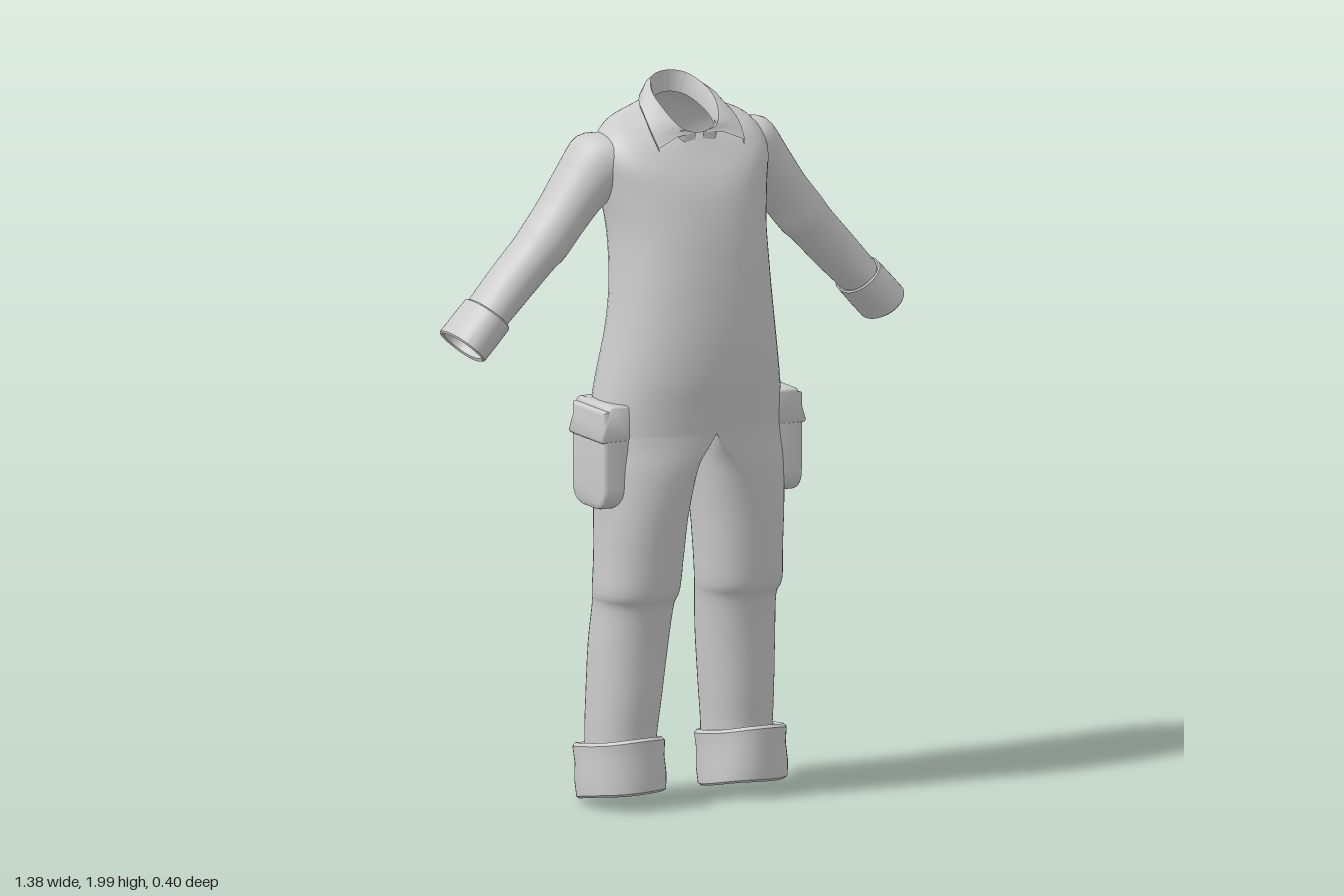
import * as THREE from 'three';
import { mergeGeometries, mergeVertices, toCreasedNormals } from 'three/addons/utils/BufferGeometryUtils.js';
import { RoundedBoxGeometry } from 'three/addons/geometries/RoundedBoxGeometry.js';

const V = (x, y, z) => new THREE.Vector3(x, y, z);
const N = 48;
const cloth = new THREE.MeshStandardMaterial({ color: 0xcccccc, side: THREE.DoubleSide, roughness: 0.9 });

// Catmull-Rom through every column of a table, n steps per span
function refine(rows, n) {
  const out = [];
  const at = (i) => rows[Math.max(0, Math.min(rows.length - 1, i))];
  for (let i = 0; i < rows.length - 1; i++) {
    for (let s = 0; s < n; s++) {
      const t = s / n;
      out.push(at(i).map((b, c) => {
        const a = at(i - 1)[c], d = at(i + 1)[c], e = at(i + 2)[c];
        return b + 0.5 * t * (d - a + t * (2 * a - 5 * b + 4 * d - e + t * (3 * (b - d) + e - a)));
      }));
    }
  }
  out.push(rows[rows.length - 1]);
  return out;
}

// Skin over rings of equal point count
function loft(rings, closed = true) {
  const m = rings[0].length, index = [];
  for (let i = 0; i < rings.length - 1; i++) {
    for (let j = 0; j < (closed ? m : m - 1); j++) {
      const a = i * m + j, b = i * m + (j + 1) % m, c = a + m, d = b + m;
      index.push(a, c, b, b, c, d);
    }
  }
  const g = new THREE.BufferGeometry();
  g.setAttribute('position', new THREE.Float32BufferAttribute(rings.flat().flatMap((p) => p.toArray()), 3));
  g.setIndex(index);
  g.computeVertexNormals();
  return g;
}

const around = (f) => Array.from({ length: N }, (_, j) => f((j / N) * Math.PI * 2));
const pw = (v, p) => Math.sign(v) * Math.pow(Math.abs(v) < 1e-9 ? 0 : Math.abs(v), 2 / p);

// Mirror in x, keeping faces outward
function mirror(g) {
  const m = (g.index ? g.toNonIndexed() : g.clone()).scale(-1, 1, 1);
  for (const key of Object.keys(m.attributes)) {
    const { array: a, itemSize: k } = m.attributes[key];
    for (let i = 0; i < a.length; i += 3 * k) {
      for (let c = 0; c < k; c++) [a[i + c], a[i + 2 * k + c]] = [a[i + 2 * k + c], a[i + c]];
    }
  }
  return m;
}

// Torso and both legs as one welded skin
function bodyGeometry() {
  // yFront, yBack, halfWidth, zFront, zBack, lift of the sides
  const torso = refine([
    [1.05, 1.05, 0.272, 0.175, -0.175, 0],
    [1.12, 1.12, 0.268, 0.185, -0.187, 0],
    [1.2, 1.2, 0.256, 0.198, -0.185, 0],
    [1.3, 1.3, 0.24, 0.203, -0.167, 0],
    [1.4, 1.4, 0.228, 0.2, -0.158, 0],
    [1.5, 1.5, 0.222, 0.192, -0.165, 0],
    [1.6, 1.6, 0.222, 0.178, -0.182, 0],
    [1.69, 1.7, 0.236, 0.156, -0.198, 0.01],
    [1.75, 1.8, 0.248, 0.13, -0.198, 0.035],
    [1.8, 1.865, 0.21, 0.1, -0.182, 0.04],
    [1.835, 1.91, 0.14, 0.08, -0.16, 0.025],
    [1.86, 1.94, 0.088, 0.065, -0.135, 0.005],
  ], 4).map(([yf, yb, w, zf, zb, lift]) => around((p) => {
    const s = pw(Math.sin(p), 2.2), c = pw(Math.cos(p), 2.2);
    return V(w * c, (yf + yb) / 2 + (s * (yf - yb)) / 2 + lift * c * c, (zf + zb) / 2 + (s * (zf - zb)) / 2);
  }));
  // y, xInner, xOuter, zFront, zBack, blend into half of the torso outline
  const leg = loft(refine([
    [0.1, 0.087, 0.266, 0.058, -0.15, 0],
    [0.2, 0.085, 0.27, 0.062, -0.15, 0],
    [0.3, 0.075, 0.27, 0.073, -0.148, 0],
    [0.45, 0.06, 0.268, 0.085, -0.14, 0],
    [0.56, 0.05, 0.264, 0.1, -0.125, 0],
    [0.605, 0.041, 0.273, 0.122, -0.113, 0],
    [0.7, 0.034, 0.27, 0.135, -0.114, 0],
    [0.82, 0.024, 0.27, 0.15, -0.123, 0.03],
    [0.94, 0.012, 0.272, 0.164, -0.145, 0.35],
    [1.01, 0.004, 0.272, 0.171, -0.165, 0.8],
    [1.05, 0, 0.272, 0.175, -0.175, 1],
  ], 4).map(([y, xi, xo, zf, zb, k]) => around((p) => {
    const s = pw(Math.sin(p), 2.2), c = pw(Math.cos(p), 2.2);
    const round = (xi + xo) / 2 + (c * (xo - xi)) / 2, half = xo * Math.max(0, c);
    return V(round + (half - round) * k, y, (zf + zb) / 2 + (s * (zf - zb)) / 2);
  })));
  const parts = [loft(torso), leg, mirror(leg)].map((g) => {
    const flat = g.index ? g.toNonIndexed() : g;
    flat.deleteAttribute('normal');
    return flat;
  });
  const g = mergeVertices(mergeGeometries(parts), 1e-4);
  g.computeVertexNormals();
  return g;
}

// Turned-up band: profile rows are [radial offset, distance along axis]
function band(center, axis, u, v, a, b, profile, wobble) {
  return toCreasedNormals(loft(profile.map(([o, h]) => around((p) => {
    const w = wobble * Math.sin(3 * p + 1 + h * 12);
    return center.clone().addScaledVector(axis, h + w * 0.6)
      .addScaledVector(u, (a + o + w) * pw(Math.cos(p), 2.15))
      .addScaledVector(v, (b + o + w) * pw(Math.sin(p), 2.15));
  }))), 0.7);
}

// Sleeve frame: axis runs down the arm
const ARM = V(0.68, -0.73, 0).normalize(), ACROSS = V(-0.73, -0.68, 0).normalize();

function sleeveGeometry() {
  // x, y, z, half height, half depth
  return loft(refine([
    [0.14, 1.8, -0.06, 0.08, 0.085],
    [0.205, 1.782, -0.075, 0.1, 0.105],
    [0.28, 1.715, -0.08, 0.08, 0.092],
    [0.34, 1.64, -0.08, 0.071, 0.084],
    [0.395, 1.572, -0.078, 0.07, 0.08],
    [0.425, 1.54, -0.08, 0.065, 0.078],
    [0.5, 1.46, -0.084, 0.062, 0.076],
    [0.59, 1.365, -0.082, 0.055, 0.076],
  ], 4).map(([x, y, z, h, d]) => around((p) =>
    V(x, y, z + d * Math.sin(p)).addScaledVector(ACROSS, h * Math.cos(p)))));
}

// Folded collar: inner stand, top fold, leaf and its underside
function collarGeometry() {
  const line = (half) => new THREE.CatmullRomCurve3([
    ...half.map((p) => V(...p)),
    ...half.slice(0, -1).reverse().map(([x, y, z]) => V(-x, y, z)),
  ]).getPoints(60);
  const top = line([[0.012, 1.862, 0.075], [0.055, 1.88, 0.072], [0.083, 1.93, 0.015], [0.08, 1.965, -0.05], [0.05, 1.992, -0.1], [0, 2, -0.115]]);
  const fall = line([[0.132, 1.832, 0.09], [0.136, 1.875, 0.05], [0.127, 1.914, -0.01], [0.108, 1.932, -0.07], [0.065, 1.945, -0.13], [0, 1.95, -0.149]]);
  const shift = (pts, k, dy) => pts.map((p) => V(p.x * k, p.y + dy, p.z));
  const mid = top.map((p, i) => p.clone().lerp(fall[i], 0.5).add(V(0, 0.01, 0)));
  return toCreasedNormals(loft([shift(top, 0.9, -0.06), shift(top, 0.95, -0.008), top, mid, fall, shift(fall, 0.98, -0.012)], false), 0.8);
}

function pocketGeometry() {
  const w = 0.083, r = 0.05, y0 = 0.857, y1 = 1.11;
  const s = new THREE.Shape();
  s.moveTo(-w, y1).lineTo(-w, y0 + r);
  s.quadraticCurveTo(-w, y0, -w + r, y0).lineTo(w - r, y0);
  s.quadraticCurveTo(w, y0, w, y0 + r).lineTo(w, y1).closePath();
  const g = new THREE.ExtrudeGeometry(s, { depth: 0.068, bevelSize: 0.012, bevelThickness: 0.012, bevelSegments: 3, curveSegments: 8 });
  return toCreasedNormals(g.rotateY(Math.PI / 2).translate(0.225, 0, 0.006), 0.8);
}

function flapGeometry() {
  const g = new RoundedBoxGeometry(0.1, 0.1, 0.194, 3, 0.01).translate(0.265, 1.085, 0.006);
  const p = g.attributes.position;
  // lean the flap in towards the hip at its top
  for (let i = 0; i < p.count; i++) p.setX(i, p.getX(i) - Math.max(0, p.getY(i) - 1.05) * 0.32);
  g.computeVertexNormals();
  return toCreasedNormals(g, 0.8);
}

export function createModel() {
  const model = new THREE.Group();
  model.name = 'coveralls';
  const add = (name, g) => {
    const mesh = new THREE.Mesh(g, cloth);
    mesh.name = name;
    model.add(mesh);
  };
  const pair = (name, g) => {
    add(`left${name}`, g);
    add(`right${name}`, mirror(g));
  };

  add('body', bodyGeometry());
  add('collar', collarGeometry());
  pair('Sleeve', sleeveGeometry());
  pair('SleeveCuff', band(V(0.566, 1.389, -0.08), ARM, ACROSS, V(0, 0, 1), 0.063, 0.089,
    [[-0.016, 0.008], [-0.004, 0], [0, 0.004], [0.001, 0.06], [0.001, 0.113], [-0.004, 0.117], [-0.012, 0.113], [-0.014, 0.02]], 0.001));
  pair('TrouserCuff', band(V(0.187, 0.033, -0.027), V(0, 1, -0.04), V(1, 0, 0), V(0, 0.19, 1), 0.115, 0.138,
    [[-0.03, 0.12], [-0.02, 0.01], [-0.01, 0], [-0.002, 0.006], [0.001, 0.05], [-0.002, 0.1], [0.002, 0.143], [-0.006, 0.152], [-0.018, 0.148], [-0.03, 0.12]], 0.003));
  pair('Pocket', pocketGeometry());
  pair('PocketFlap', flapGeometry());
  return model;
}
